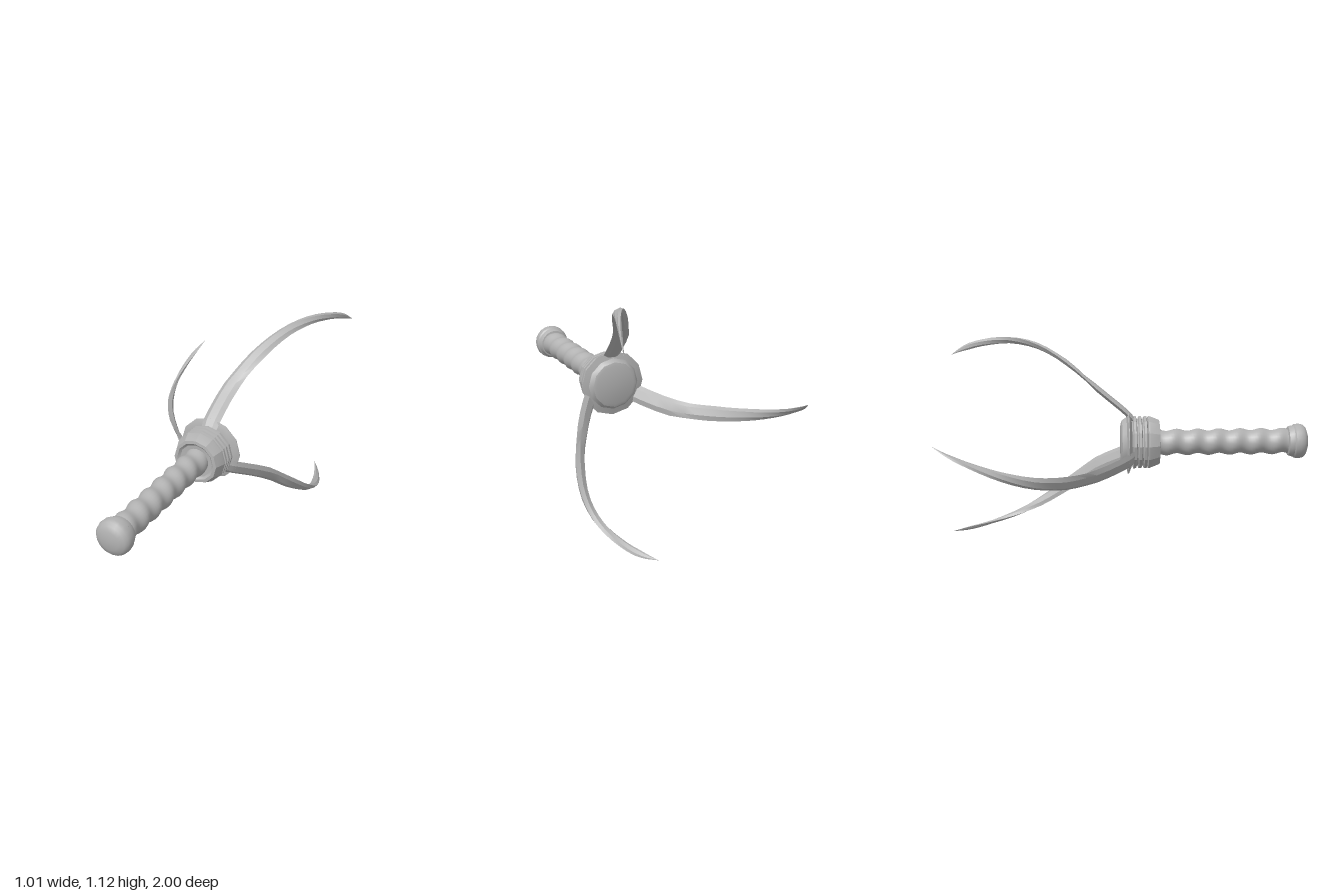
import * as THREE from 'three';
import { toCreasedNormals } from 'three/addons/utils/BufferGeometryUtils.js';

const steel = new THREE.MeshStandardMaterial({ color: 0xb2b2b2 });
steel.name = 'steel grey';

function part(name, geometry, crease) {
  const mesh = new THREE.Mesh(toCreasedNormals(geometry, crease), steel);
  mesh.name = name;
  return mesh;
}

// Profile of [radius, z] pairs, z rising, turned about the z axis
function turned(name, profile, sides, crease) {
  const points = profile.map(([r, z]) => new THREE.Vector2(r, z));
  return part(name, new THREE.LatheGeometry(points, sides).rotateX(Math.PI / 2), crease);
}

// Grip with a spiral ripple
function grip() {
  const geo = new THREE.CylinderGeometry(0.068, 0.068, 0.76, 24, 56, true).rotateX(Math.PI / 2);
  const p = geo.attributes.position;
  for (let i = 0; i < p.count; i++) {
    const a = Math.atan2(p.getY(i), p.getX(i));
    const z = p.getZ(i);
    const r = 0.068 + 0.006 * Math.cos((z * Math.PI * 2) / 0.118 + a);
    p.setXYZ(i, r * Math.cos(a), r * Math.sin(a), z + 0.53);
  }
  return part('grip', geo, 1);
}

// Stations of the curved prong: centre x, y, z, width, thickness, angle of the width in degrees
const stations = [
  [0.003, 0.125, 0.03, 0.085, 0.036, 180],
  [0.003, 0.158, 0, 0.095, 0.038, 180],
  [0.031, 0.306, -0.18, 0.094, 0.036, 180],
  [0.103, 0.436, -0.34, 0.086, 0.034, 176],
  [0.182, 0.52, -0.5, 0.068, 0.03, 164],
  [0.253, 0.545, -0.66, 0.05, 0.024, 132],
  [0.315, 0.525, -0.82, 0.04, 0.018, 98],
  [0.353, 0.49, -0.93, 0.03, 0.011, 80],
  [0.376, 0.453, -1, 0.001, 0.001, 75],
];
const section = [[0.5, 0], [0.24, 0.5], [-0.24, 0.5], [-0.5, 0], [-0.24, -0.5], [0.24, -0.5]];

function prongGeometry() {
  const column = (a, b, c) => new THREE.CatmullRomCurve3(
    stations.map((s) => new THREE.Vector3(s[a], s[b], s[c])));
  const path = column(0, 1, 2);
  const size = column(3, 4, 5);
  const steps = 24, n = section.length;
  const pos = [], index = [];
  for (let i = 0; i <= steps; i++) {
    const c = path.getPoint(i / steps);
    const s = size.getPoint(i / steps);
    const a = THREE.MathUtils.degToRad(s.z);
    for (const [u, v] of section) {
      const w = u * s.x, t = v * s.y;
      pos.push(c.x + w * Math.cos(a) - t * Math.sin(a), c.y + w * Math.sin(a) + t * Math.cos(a), c.z);
    }
  }
  for (let i = 0; i < steps; i++) {
    for (let j = 0; j < n; j++) {
      const a = i * n + j, b = i * n + ((j + 1) % n);
      index.push(a, a + n, b, b, a + n, b + n);
    }
  }
  // End caps
  const last = steps * n;
  for (let j = 1; j < n - 1; j++) {
    index.push(0, j, j + 1, last, last + j + 1, last + j);
  }
  const geo = new THREE.BufferGeometry();
  geo.setAttribute('position', new THREE.Float32BufferAttribute(pos, 3));
  geo.setIndex(index);
  return geo;
}

export function createModel() {
  const model = new THREE.Group();
  model.name = 'threeProngedTool';
  const body = new THREE.Group();
  body.name = 'body';
  body.position.set(0.122, 0.575, 0);
  model.add(body);

  // Domed pommel at the front end
  body.add(turned('pommel', [
    [0.06, 0.885], [0.08, 0.89], [0.086, 0.905], [0.088, 0.918], [0.095, 0.925], [0.097, 0.95],
    [0.092, 0.97], [0.078, 0.985], [0.05, 0.995], [0, 1],
  ], 20, 0.6));
  body.add(grip());

  // Stepped collar with ring grooves
  const collar = [[0, 0], [0.135, 0.01]];
  for (let i = 0; i < 3; i++) {
    const z = 0.022 + i * 0.029;
    collar.push([0.132, z], [0.147, z + 0.005], [0.147, z + 0.018], [0.132, z + 0.023]);
  }
  collar.push([0.146, 0.108], [0.146, 0.118], [0.125, 0.17], [0.108, 0.172], [0.095, 0.16], [0.06, 0.158]);
  body.add(turned('collar', collar, 12, 0.45));

  // Sharp-edged flange with a flat back face
  body.add(turned('flange', [
    [0, -0.042], [0.108, -0.042], [0.125, -0.036], [0.142, -0.012], [0.177, -0.003],
    [0.177, 0.001], [0.14, 0.016], [0.1, 0.016],
  ], 12, 0.45));

  // Three prongs around the axis
  const geo = prongGeometry();
  for (let i = 0; i < 3; i++) {
    const prong = part('prong' + (i + 1), geo, 0.4);
    prong.rotation.z = (i * Math.PI * 2) / 3;
    body.add(prong);
  }
  return model;
}
